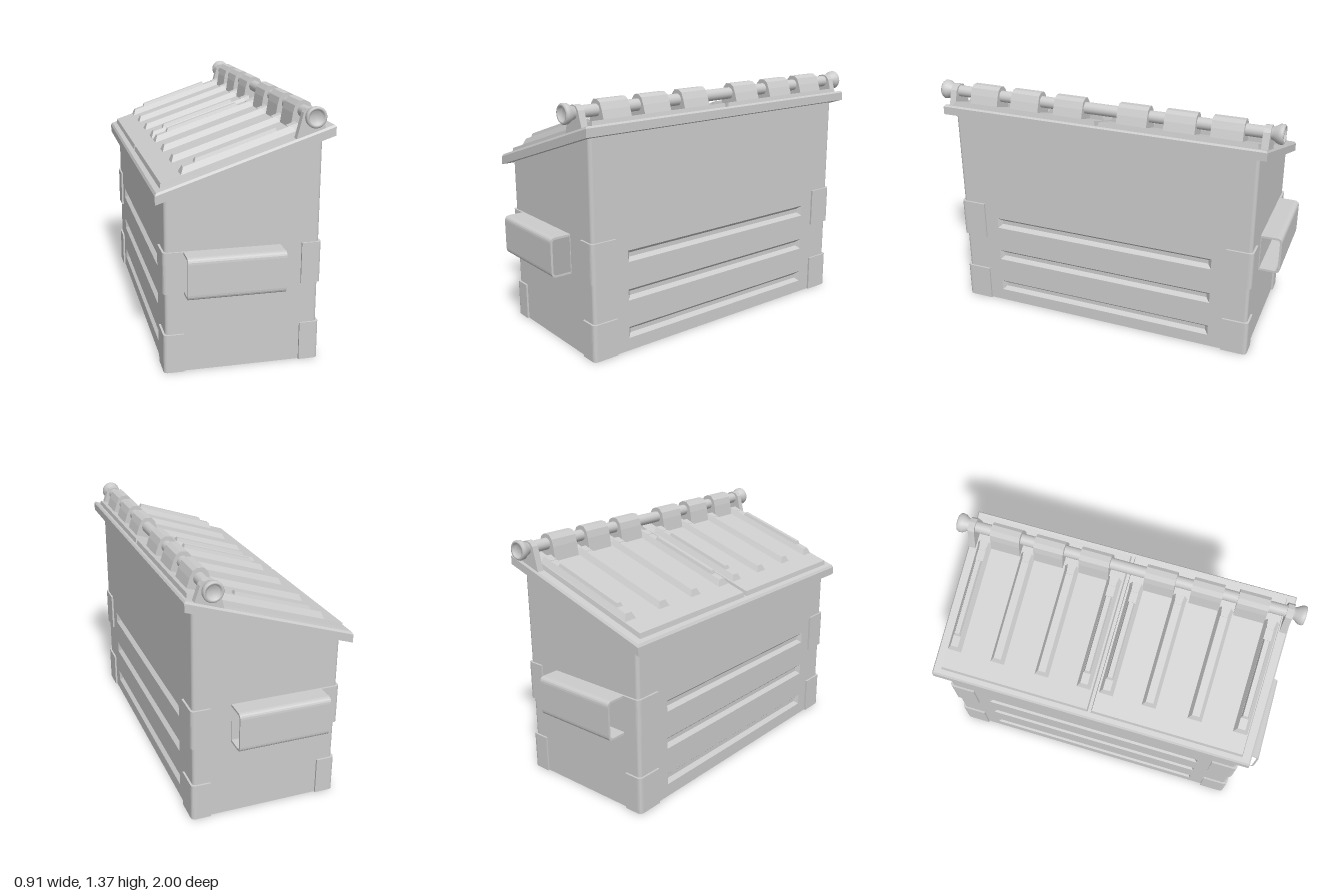
import * as THREE from 'three';

const SLOPE = 0.33;
const roofY = (x) => 1.122 + SLOPE * x; // top of the sloped rim

const gray = new THREE.MeshStandardMaterial({ color: 0xcccccc });
const grayDouble = new THREE.MeshStandardMaterial({ color: 0xcccccc, side: THREE.DoubleSide });

function add(parent, name, geometry, material = gray) {
  const mesh = new THREE.Mesh(geometry, material);
  mesh.name = name;
  parent.add(mesh);
  return mesh;
}

function moveVertices(geometry, rule) {
  const p = geometry.attributes.position;
  const v = new THREE.Vector3();
  for (let i = 0; i < p.count; i++) {
    rule(v.fromBufferAttribute(p, i));
    p.setXYZ(i, v.x, v.y, v.z);
  }
  geometry.computeVertexNormals();
  return geometry;
}

// Tilts a flat part to the slope of the roof
const shear = (geometry) => moveVertices(geometry, (v) => { v.y += SLOPE * v.x; });

// Box standing on y = 0 whose top face is drawn in on all sides
function frustum(w, h, d, insetX, insetZ) {
  return moveVertices(new THREE.BoxGeometry(w, h, d).translate(0, h / 2, 0), (v) => {
    if (v.y < h / 2) return;
    v.x -= Math.sign(v.x) * insetX;
    v.z -= Math.sign(v.z) * insetZ;
  });
}

const polygon = (points) => new THREE.Shape(points.map(([x, y]) => new THREE.Vector2(x, y)));
const extrude = (shape, depth) =>
  new THREE.ExtrudeGeometry(shape, { depth, bevelEnabled: false, curveSegments: 5 });

function buildBody(group) {
  const X = 0.405, Z = 0.88, R = 0.02;
  const wallTop = (x) => 1.09 + SLOPE * x;
  const grooveLevels = [0.105, 0.322, 0.54], grooveH = 0.064, grooveL = 1.32;

  // End walls and floor
  for (const s of [1, -1]) {
    const a = X - R;
    const wall = new THREE.ShapeGeometry(polygon([[-a, 0], [a, 0], [a, wallTop(a)], [-a, wallTop(-a)]]));
    if (s < 0) wall.rotateY(Math.PI);
    if (s < 0) moveVertices(wall, (v) => { if (v.y > 0.1) v.y = wallTop(v.x); });
    add(group, 'endWall', wall.translate(0, 0, s * Z));
  }
  add(group, 'floor', new THREE.PlaneGeometry(2 * X - 0.01, 2 * Z - 0.01).rotateX(Math.PI / 2));

  // Long walls with three pressed-in grooves each
  for (const s of [1, -1]) {
    const b = Z - R, top = wallTop(s * X);
    const shape = polygon([[-b, 0], [b, 0], [b, top], [-b, top]]);
    for (const y of grooveLevels) {
      const l = grooveL / 2, h = grooveH / 2;
      shape.holes.push(polygon([[-l, y - h], [-l, y + h], [l, y + h], [l, y - h]]));
      const groove = frustum(grooveH, 0.022, grooveL, 0.02, 0.022);
      const index = Array.from(groove.index.array);
      index.splice(18, 6); // leave the mouth open
      groove.setIndex(index);
      groove.rotateZ(s * Math.PI / 2).translate(s * X, y, 0);
      add(group, 'sideGroove', groove, grayDouble);
    }
    add(group, 'longWall', new THREE.ShapeGeometry(shape).rotateY(s * Math.PI / 2).translate(s * X, 0, 0));
  }

  // Rounded corner posts and wrap-around corner plates
  for (const sx of [1, -1]) for (const sz of [1, -1]) {
    const h = wallTop(sx * (X - R));
    add(group, 'cornerPost', new THREE.CylinderGeometry(R, R, h, 20, 1, true)
      .translate(sx * (X - R), h / 2, sz * (Z - R)));
    const x0 = 0.31, x1 = 0.416, z0 = 0.74, z1 = 0.891, r = 0.025;
    const plate = new THREE.Shape();
    plate.moveTo(sx * x0, -sz * z0);
    plate.lineTo(sx * x1, -sz * z0);
    plate.lineTo(sx * x1, -sz * (z1 - r));
    plate.quadraticCurveTo(sx * x1, -sz * z1, sx * (x1 - r), -sz * z1);
    plate.lineTo(sx * x0, -sz * z1);
    for (const [y, height] of [[0, 0.21], [0.435, 0.22]]) {
      add(group, 'cornerPlate', extrude(plate, height).rotateX(-Math.PI / 2).translate(0, y, 0));
    }
  }
}

// Open-ended lifting sleeve on an end wall
function buildSleeve(group, s) {
  const outline = (Curve, inner, outer, low, high, r) => {
    const c = new Curve();
    c.moveTo(-s * inner, low);
    c.lineTo(-s * (outer - r), low);
    c.quadraticCurveTo(-s * outer, low, -s * outer, low + r);
    c.lineTo(-s * outer, high - r);
    c.quadraticCurveTo(-s * outer, high, -s * (outer - r), high);
    c.lineTo(-s * inner, high);
    c.closePath();
    return c;
  };
  const shape = outline(THREE.Shape, 0.875, 1, 0.435, 0.655, 0.03);
  shape.holes.push(outline(THREE.Path, 0.884, 0.988, 0.447, 0.643, 0.02));
  add(group, 'liftSleeve', extrude(shape, 0.505).rotateY(Math.PI / 2).translate(-0.31, 0, 0));
}

function buildRoof(group) {
  // Overhanging rim with a softened upper edge
  add(group, 'rim', shear(new THREE.BoxGeometry(0.91, 0.045, 1.85).translate(0, 1.0875, 0)));
  add(group, 'rimEdge', shear(frustum(0.91, 0.012, 1.85, 0.008, 0.008).translate(0, 1.11, 0)));

  for (const s of [1, -1]) {
    const lid = new THREE.Group();
    lid.name = 'lid';
    group.add(lid);
    add(lid, 'lidPanel', shear(frustum(0.85, 0.025, 0.865, 0.005, 0.005).translate(0.003, 1.122, s * 0.4415)));
    for (const z of [0.065, 0.31, 0.57, 0.825]) {
      // Stiffening rib, flared where it meets the hinge
      add(lid, 'rib', shear(frustum(0.59, 0.033, 0.082, 0.014, 0.02).translate(-0.02, 1.145, s * z)));
      add(lid, 'ribFlare', shear(moveVertices(frustum(0.05, 0.035, 0.09, 0, 0.02), (v) => {
        if (v.x < 0) v.z *= 0.75;
      }).translate(0.255, 1.145, s * z)));
      // Raised ridge on the outermost ribs of each lid
      if (z < 0.1 || z > 0.8) {
        add(lid, 'ribRidge', shear(frustum(0.42, 0.02, 0.042, 0.008, 0.008).translate(-0.035, 1.176, s * z)));
      }
    }
  }
}

function buildHinge(group) {
  const hx = 0.33, hy = 1.32;
  add(group, 'hingeRod', new THREE.CylinderGeometry(0.032, 0.032, 1.88, 24).rotateX(Math.PI / 2).translate(hx, hy, 0));

  // Angular knuckles seated on the lids
  const knuckle = polygon([[0.262, roofY(0.262) + 0.015], [0.4, roofY(0.4) + 0.015], [0.381, 1.325],
    [0.364, 1.361], [0.34, 1.374], [0.306, 1.372], [0.285, 1.348], [0.275, 1.31]]);
  // Tapered brackets carrying the rod ends
  const bracket = polygon([[0.25, roofY(0.25) - 0.01], [0.405, roofY(0.405) - 0.01], [0.375, 1.335],
    [0.358, 1.354], [0.33, 1.36], [0.302, 1.354], [0.285, 1.335]]);
  // Flared rod end with a dished face
  const cap = [[0.032, 0.915], [0.036, 0.93], [0.052, 0.955], [0.054, 0.975], [0.048, 0.983],
    [0.038, 0.983], [0.032, 0.965], [0, 0.965]].map(([r, y]) => new THREE.Vector2(r, y));

  for (const s of [1, -1]) {
    for (const z of [0.185, 0.4475, 0.7]) {
      add(group, 'hingeKnuckle', extrude(knuckle, 0.17).translate(0, 0, s * z - 0.085));
    }
    add(group, 'hingeBracket', extrude(bracket, 0.037).translate(0, 0, s * 0.899 - 0.0185));
    add(group, 'rodCap', new THREE.LatheGeometry(cap, 24).rotateX(s * Math.PI / 2).translate(hx, hy, 0), grayDouble);
  }
}

export function createModel() {
  const model = new THREE.Group();
  model.name = 'wasteContainer';
  const section = (name) => {
    const g = new THREE.Group();
    g.name = name;
    model.add(g);
    return g;
  };
  buildBody(section('body'));
  const sleeves = section('liftSleeves');
  buildSleeve(sleeves, 1);
  buildSleeve(sleeves, -1);
  buildRoof(section('roof'));
  buildHinge(section('hinge'));
  return model;
}
